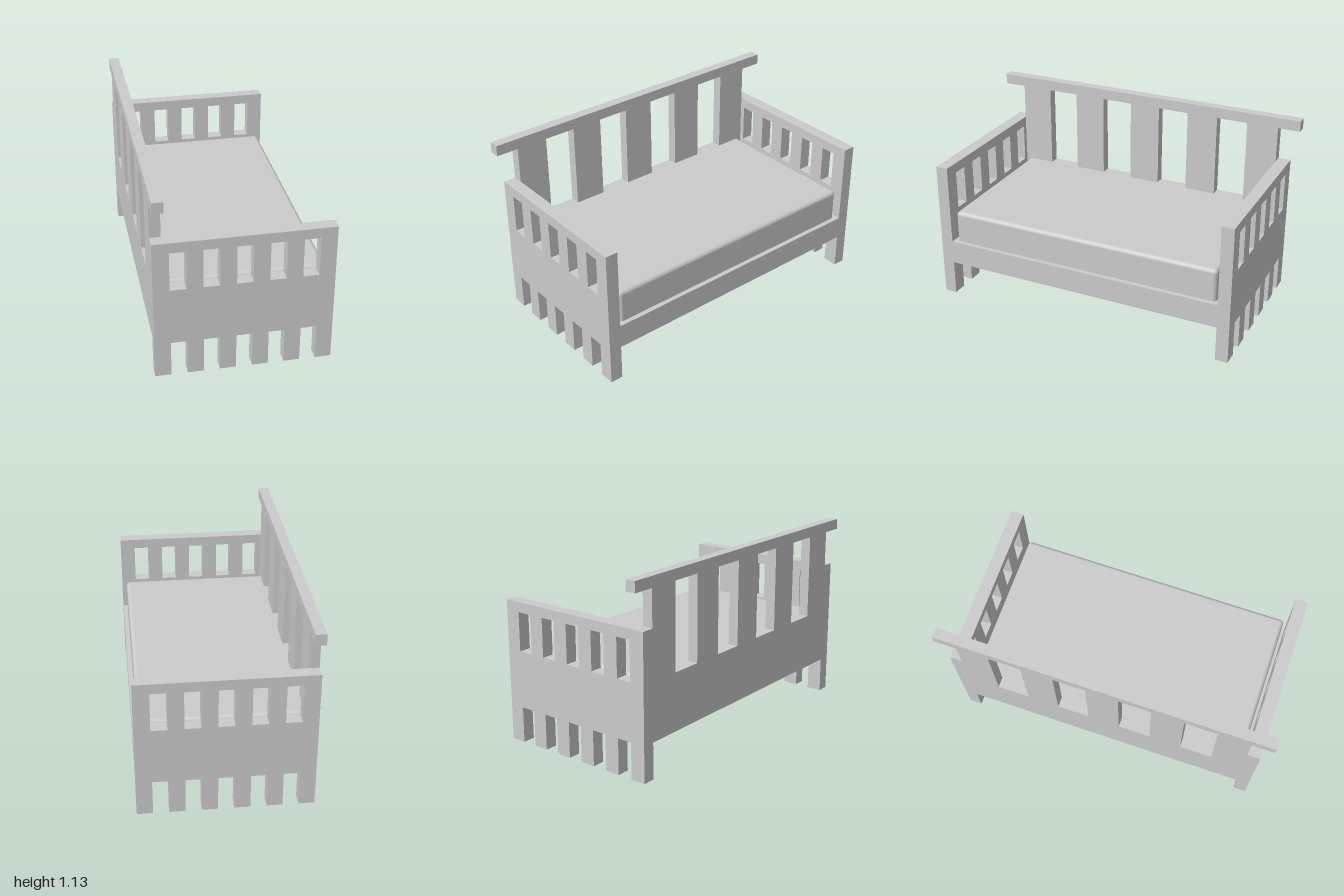
import * as THREE from 'three';
import { RoundedBoxGeometry } from 'three/addons/geometries/RoundedBoxGeometry.js';

const material = new THREE.MeshStandardMaterial({ color: 0xcccccc });
const HALF_X = 0.503, HALF_Z = 0.866;   // half depth of the bed, half length between the end panels
const BACK_T = 0.062, END_T = 0.075;    // panel thicknesses
const BASE_Y = 0.215, DECK_Y = 0.36, SLOT_Y = 0.557;

function add(group, name, geometry) {
  const mesh = new THREE.Mesh(geometry, material);
  mesh.name = name;
  group.add(mesh);
  return mesh;
}

// Box given by its minimum and maximum corners
function box(group, name, [x0, y0, z0], [x1, y1, z1]) {
  const mesh = add(group, name, new THREE.BoxGeometry(x1 - x0, y1 - y0, z1 - z0));
  mesh.position.set((x0 + x1) / 2, (y0 + y1) / 2, (z0 + z1) / 2);
  return mesh;
}

const polygon = (Type, pts) => new Type(pts.map(([x, y]) => new THREE.Vector2(x, y)));
const rect = (x0, y0, x1, y1) => polygon(THREE.Path, [[x0, y0], [x0, y1], [x1, y1], [x1, y0]]);

// End panel: five upper slots, and six legs left by five notches below
function endPanelGeometry() {
  const unit = (2 * HALF_X) / 11;
  const outline = [[-HALF_X, 0]];
  const holes = [];
  for (let i = 0; i < 5; i++) {
    const a = -HALF_X + unit * (2 * i + 1), b = a + unit;
    outline.push([a, 0], [a, BASE_Y], [b, BASE_Y], [b, 0]);
    holes.push(rect(a, SLOT_Y, b, 0.79));
  }
  outline.push([HALF_X, 0], [HALF_X, 0.85], [-HALF_X, 0.85]);
  const shape = polygon(THREE.Shape, outline);
  shape.holes = holes;
  return new THREE.ExtrudeGeometry(shape, { depth: END_T, bevelEnabled: false });
}

// Back panel: four slots open up to the top rail
function backPanelGeometry() {
  const top = 1.066, unit = (2 * HALF_Z) / 9;
  const outline = [[-HALF_Z, BASE_Y], [HALF_Z, BASE_Y], [HALF_Z, top]];
  for (let i = 3; i >= 0; i--) {
    const a = -HALF_Z + unit * (2 * i + 1), b = a + unit;
    outline.push([b, top], [b, SLOT_Y], [a, SLOT_Y], [a, top]);
  }
  outline.push([-HALF_Z, top]);
  const shape = polygon(THREE.Shape, outline);
  return new THREE.ExtrudeGeometry(shape, { depth: BACK_T, bevelEnabled: false }).rotateY(Math.PI / 2);
}

export function createModel() {
  const group = new THREE.Group();
  group.name = 'daybed';

  // End panels
  const endGeometry = endPanelGeometry();
  add(group, 'leftEndPanel', endGeometry).position.z = HALF_Z;
  add(group, 'rightEndPanel', endGeometry).position.z = -HALF_Z - END_T;

  // Back panel and its overhanging rail
  add(group, 'backPanel', backPanelGeometry()).position.x = -HALF_X;
  box(group, 'topRail', [-HALF_X, 1.066, -1], [-HALF_X + BACK_T, 1.13, 1]);

  // Solid platform
  box(group, 'platform', [-HALF_X + BACK_T, BASE_Y, -HALF_Z], [HALF_X, DECK_Y, HALF_Z]);

  // Soft-edged mattress; its lower and rear edges are sunk into the frame
  const x0 = -HALF_X + 0.02, x1 = 0.475, y0 = DECK_Y - 0.04;
  const mattress = add(group, 'mattress', new RoundedBoxGeometry(x1 - x0, SLOT_Y - y0, 1.69, 4, 0.025));
  mattress.position.set((x0 + x1) / 2, (y0 + SLOT_Y) / 2, 0);

  return group;
}
